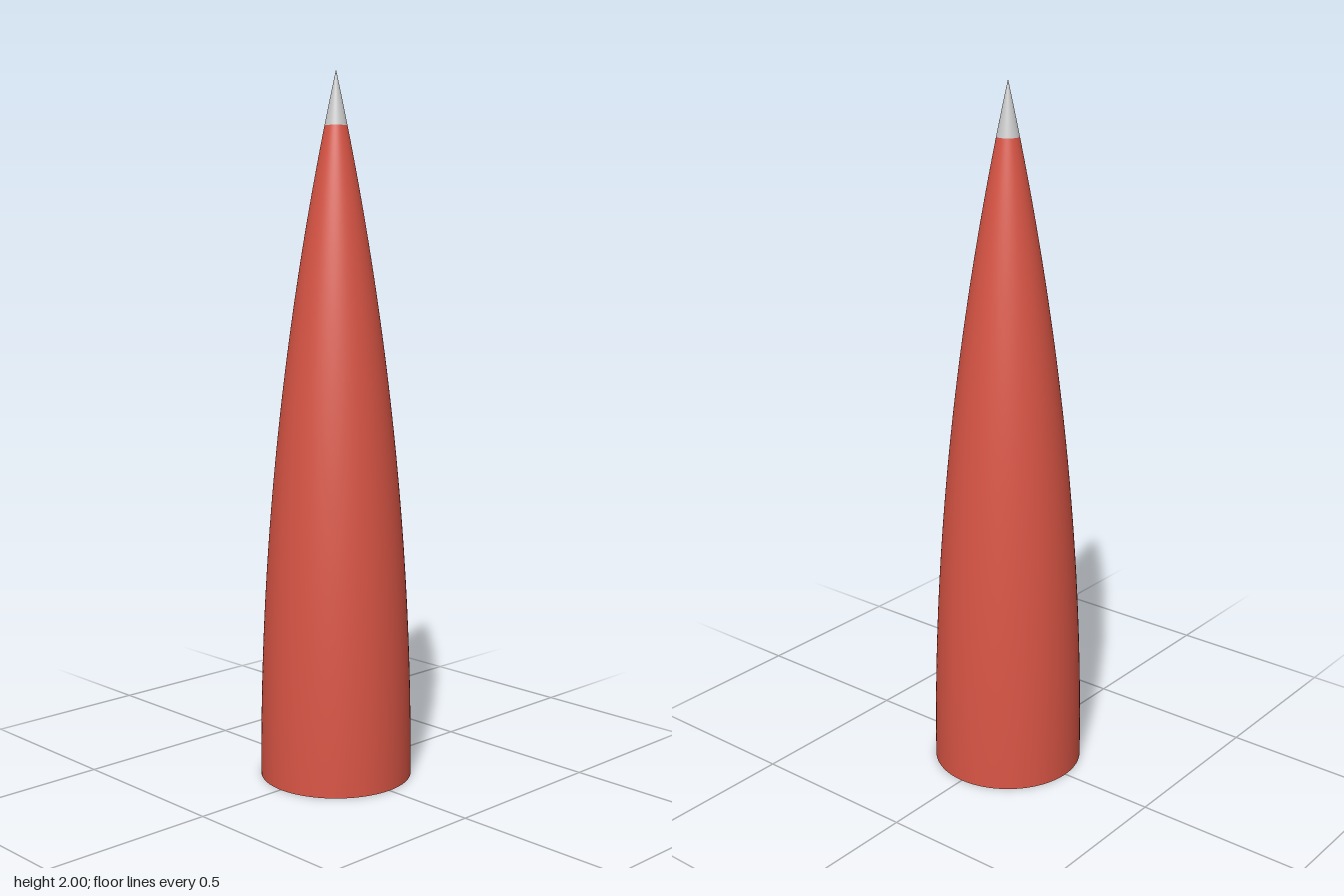
import * as THREE from 'three';

const LENGTH = 2, RADIUS = 0.217, TIP_START = 1.85, SIDES = 96;

// Tangent ogive: a circular arc that leaves the base vertically and ends in a point
const ARC = (RADIUS ** 2 + LENGTH ** 2) / (2 * RADIUS);
const radiusAt = (y) => Math.max(0, Math.sqrt(ARC ** 2 - y ** 2) + RADIUS - ARC);

function ogiveSection(y0, y1, steps) {
  const profile = [];
  for (let i = 0; i <= steps; i++) {
    const y = y0 + ((y1 - y0) * i) / steps;
    profile.push(new THREE.Vector2(radiusAt(y), y));
  }
  return new THREE.LatheGeometry(profile, SIDES);
}

export function createModel() {
  const model = new THREE.Group();
  model.name = 'noseCone';
  const red = new THREE.MeshStandardMaterial({ color: 0xd95545 });
  const grey = new THREE.MeshStandardMaterial({ color: 0xcccccc });

  const add = (name, geometry, material) => {
    const mesh = new THREE.Mesh(geometry, material);
    mesh.name = name;
    model.add(mesh);
  };

  // Curved shell and its pointed metal tip
  add('shell', ogiveSection(0, TIP_START, 64), red);
  add('tip', ogiveSection(TIP_START, LENGTH, 12), grey);

  // Flat base, facing down
  add('base', new THREE.CircleGeometry(RADIUS, SIDES).rotateX(Math.PI / 2), red);

  return model;
}
